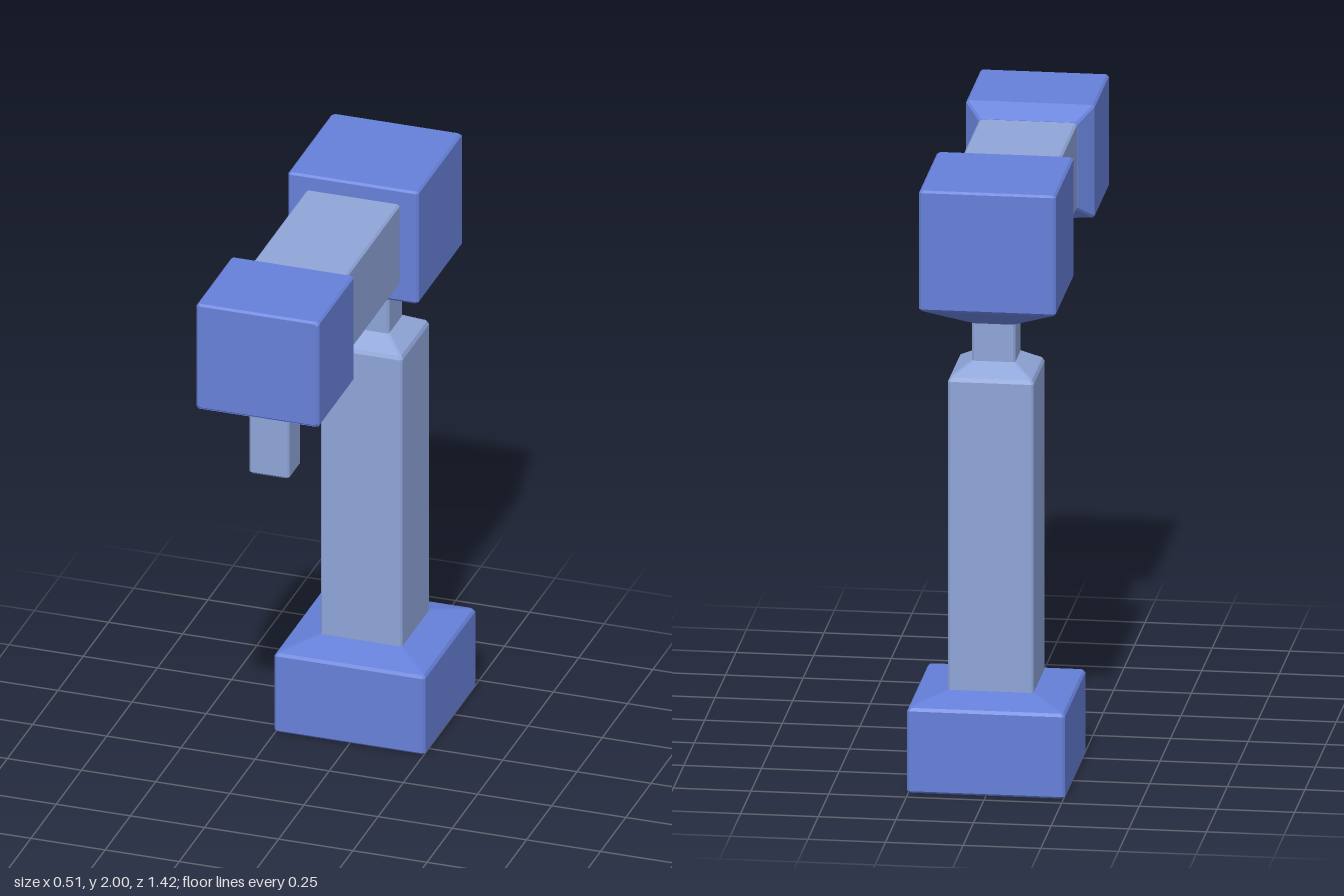
import * as THREE from 'three';

const BLUE = new THREE.MeshStandardMaterial({ color: 0x6680d9, flatShading: true });
const PALE = new THREE.MeshStandardMaterial({ color: 0x8fa5d8, flatShading: true });
const BEVEL = 0.007;

// Rectangle with clipped corners, counter-clockwise seen from +y
function ring([y, hx, hz]) {
  const x = hx - BEVEL, z = hz - BEVEL;
  return [[hx, z], [hx, -z], [x, -hz], [-x, -hz], [-hx, -z], [-hx, z], [-x, hz], [x, hz]]
    .map(([px, pz]) => [px, y, pz]);
}

// Closed solid through sections [y, halfX, halfZ], listed upwards
function loft(sections) {
  const rings = sections.map(ring);
  const pos = [];
  const tri = (a, b, c) => pos.push(...a, ...b, ...c);
  const last = rings[rings.length - 1];
  const n = last.length;
  for (let i = 0; i < n; i++) {
    const j = (i + 1) % n;
    for (let k = 0; k + 1 < rings.length; k++) {
      const a = rings[k], b = rings[k + 1];
      tri(a[i], a[j], b[j]);
      tri(a[i], b[j], b[i]);
    }
    tri([0, last[0][1], 0], last[i], last[j]);
    tri([0, rings[0][0][1], 0], rings[0][j], rings[0][i]);
  }
  const geometry = new THREE.BufferGeometry();
  geometry.setAttribute('position', new THREE.Float32BufferAttribute(pos, 3));
  geometry.computeVertexNormals();
  return geometry;
}

export function createModel() {
  const model = new THREE.Group();
  model.name = 'robotArm';
  const add = (name, material, geometry, y, z) => {
    const mesh = new THREE.Mesh(geometry, material);
    mesh.name = name;
    mesh.position.set(0, y, z);
    model.add(mesh);
  };
  const postZ = -0.453, toolZ = 0.54, armY = 1.803;

  // Foot with sloped shoulders
  add('base', BLUE, loft([
    [0, 0.247, 0.247], [BEVEL, 0.254, 0.254], [0.273, 0.254, 0.254],
    [0.283, 0.247, 0.247], [0.315, 0.14, 0.14],
  ]), 0, postZ);

  // Upright with its narrow neck
  add('post', PALE, loft([
    [0.29, 0.138, 0.138], [1.342, 0.138, 0.138], [1.355, 0.132, 0.132],
    [1.395, 0.07, 0.07], [1.54, 0.07, 0.07],
  ]), 0, postZ);

  // Shoulder block flaring out of the neck
  add('shoulder', BLUE, loft([
    [1.52, 0.07, 0.07], [1.596, 0.212, 0.212], [1.605, 0.22, 0.22],
    [1.993, 0.22, 0.22], [2, 0.213, 0.213],
  ]), 0, postZ);

  // Horizontal arm, lofted along z
  add('arm', PALE, loft([[-0.25, 0.158, 0.144], [0.33, 0.158, 0.144]]).rotateX(Math.PI / 2), armY, 0);

  // Wrist block with a sloped back
  add('wrist', BLUE, loft([
    [0.305, 0.159, 0.145], [0.365, 0.207, 0.188], [0.704, 0.207, 0.188], [0.711, 0.2, 0.181],
  ]).rotateX(Math.PI / 2), armY, 0);

  // Collar narrowing under the wrist
  add('wristCollar', BLUE, loft([[1.567, 0.068, 0.057], [1.617, 0.204, 0.17]]), 0, toolZ);

  // Tool tip
  add('toolTip', PALE, loft([
    [1.35, 0.063, 0.051], [1.357, 0.068, 0.057], [1.59, 0.068, 0.057],
  ]), 0, toolZ);

  return model;
}
